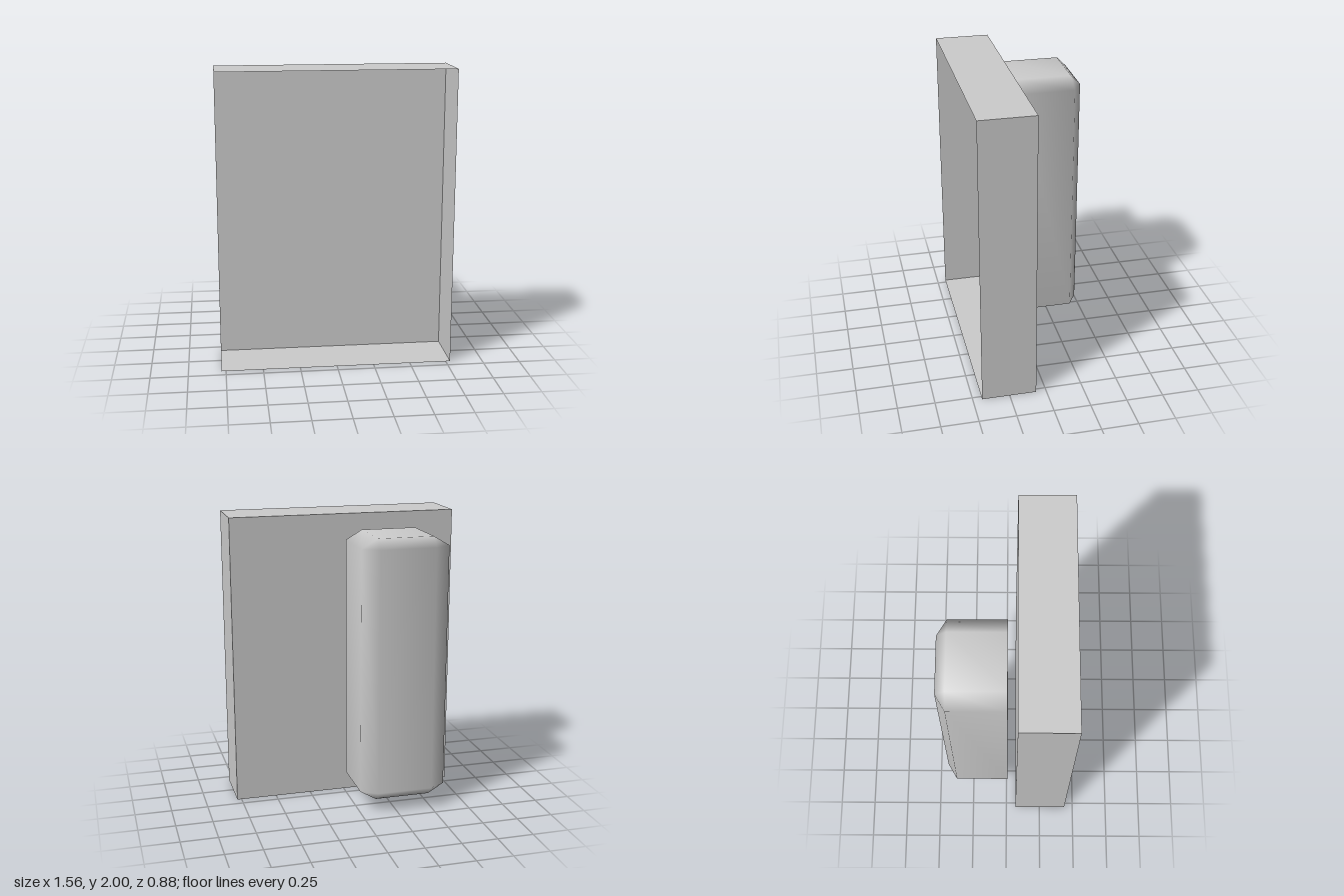
import * as THREE from 'three';

const material = new THREE.MeshStandardMaterial({ color: 0xcccccc, side: THREE.DoubleSide });

// Thin-walled box without its front (+z) face
function openTray(width, height, depth) {
  const geometry = new THREE.BoxGeometry(width, height, depth);
  const index = Array.from(geometry.index.array);
  index.splice(24, 6);
  geometry.setIndex(index);
  geometry.clearGroups();
  return geometry;
}

// Chamfered block, open at the front, smooth-shaded over its chamfers
function chamferedShell(halfW, halfH, cutX, cutY, zFront, zRim, zBack) {
  const corners = [[1, 1], [-1, 1], [-1, -1], [1, -1]];
  const positions = [];
  // Two eight-sided rings: each corner contributes two points
  for (const z of [zFront, zRim]) {
    corners.forEach(([sx, sy], i) => {
      const pair = [
        [sx * halfW, sy * (halfH - cutY), z],
        [sx * (halfW - cutX), sy * halfH, z],
      ];
      if (i % 2) pair.reverse();
      positions.push(...pair.flat());
    });
  }
  // Four corners of the inset back face
  for (const [sx, sy] of corners) positions.push(sx * (halfW - cutX), sy * (halfH - cutY), zBack);

  const index = [];
  for (let j = 0; j < 8; j++) {
    const k = (j + 1) % 8;
    const cj = 16 + (j >> 1);
    const ck = 16 + (k >> 1);
    index.push(j, 8 + j, k, 8 + j, 8 + k, k); // side wall
    index.push(8 + j, cj, 8 + k); // chamfer
    if (cj !== ck) index.push(cj, ck, 8 + k);
  }
  index.push(16, 18, 17, 16, 19, 18); // back face

  const geometry = new THREE.BufferGeometry();
  geometry.setAttribute('position', new THREE.Float32BufferAttribute(positions, 3));
  geometry.setIndex(index);
  geometry.computeVertexNormals();
  return geometry;
}

export function createModel() {
  const group = new THREE.Group();
  group.name = 'panelWithHousing';

  // Shallow tray, open towards the front
  const tray = new THREE.Mesh(openTray(1.56, 2, 0.37), material);
  tray.name = 'frontTray';
  tray.position.set(0, 1, 0.253);
  group.add(tray);

  // Tall chamfered housing behind the tray, off to one side
  const housing = new THREE.Mesh(
    chamferedShell(0.3, 0.903, 0.11, 0.065, 0.007, -0.372, -0.437), material);
  housing.name = 'rearHousing';
  housing.position.set(-0.3, 0.992, 0);
  group.add(housing);

  return group;
}
